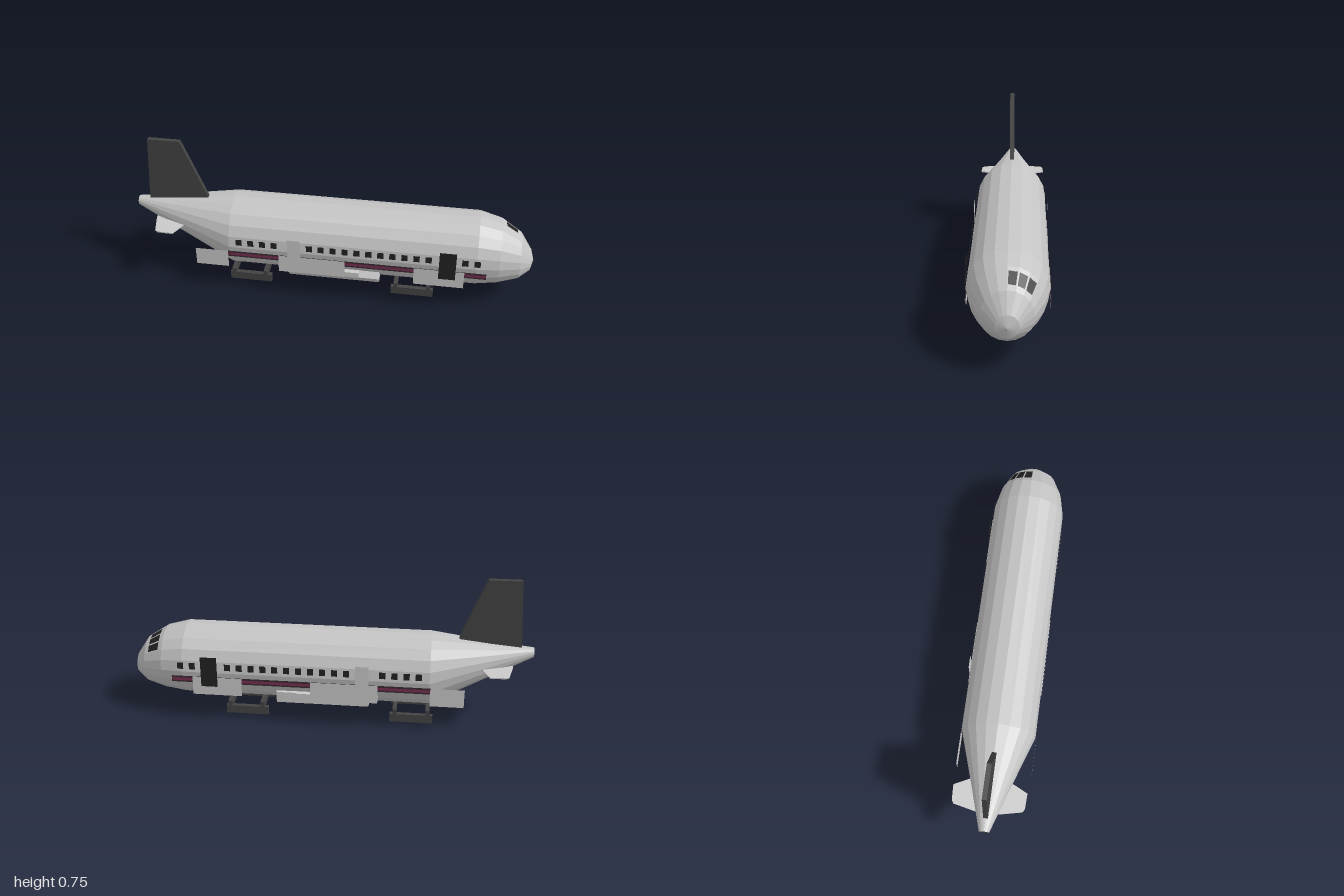
import * as THREE from 'three';

const mat = (name, color, side = THREE.FrontSide) =>
  Object.assign(new THREE.MeshStandardMaterial({ color, side }), { name });

export function createModel() {
  const group = new THREE.Group();
  const skin = mat('hull grey', 0xc4c4c4);
  const panel = mat('panel grey', 0xcacaca, THREE.DoubleSide);
  const dark = mat('dark grey', 0x444444);
  const glass = mat('window black', 0x222222, THREE.DoubleSide);
  const trim = mat('stripe edge', 0x3a2a32, THREE.DoubleSide);
  const stripe = mat('stripe maroon', 0x7a3050, THREE.DoubleSide);

  const add = (name, geo, m, x = 0, y = 0, z = 0) => {
    const mesh = new THREE.Mesh(geo, m);
    mesh.name = name;
    mesh.position.set(x, y, z);
    group.add(mesh);
    return mesh;
  };
  // box given by its low and high corners
  const box = (name, m, x0, x1, y0, y1, z0, z1) =>
    add(name, new THREE.BoxGeometry(x1 - x0, y1 - y0, z1 - z0), m, (x0 + x1) / 2, (y0 + y1) / 2, (z0 + z1) / 2);
  // flat plate on each flank
  const sidePlates = (name, m, x0, x1, y0, y1, z) => {
    for (const s of [1, -1]) {
      const p = add(name, new THREE.PlaneGeometry(x1 - x0, y1 - y0), m, (x0 + x1) / 2, (y0 + y1) / 2, s * z);
      if (s < 0) p.rotation.y = Math.PI;
    }
  };
  const faceted = (pts) => {
    const g = new THREE.BufferGeometry().setFromPoints(pts);
    g.computeVertexNormals();
    return g;
  };

  // Fuselage rings: x, centre height, radius
  const SIDES = 20;
  const rings = [
    [-1, 0.376, 0.024], [-0.8, 0.331, 0.086], [-0.5, 0.268, 0.183], [0.72, 0.268, 0.183],
    [0.83, 0.26, 0.161], [0.93, 0.24, 0.115], [0.985, 0.217, 0.053], [1, 0.217, 0.0005],
  ];
  const point = ([x, c, r], j) => {
    const a = (j / SIDES) * Math.PI * 2;
    return new THREE.Vector3(x, c + r * Math.cos(a), r * Math.sin(a));
  };
  const hull = [];
  for (let i = 0; i < rings.length - 1; i++) {
    for (let j = 0; j < SIDES; j++) {
      const a = point(rings[i], j), b = point(rings[i], j + 1);
      const c = point(rings[i + 1], j), d = point(rings[i + 1], j + 1);
      hull.push(a, b, c, b, d, c);
    }
  }
  add('fuselage', faceted(hull), skin);
  const cap = add('tailCap', new THREE.CircleGeometry(0.024, SIDES), dark, -1, 0.376, 0);
  cap.rotation.y = -Math.PI / 2;

  // Cockpit windows, one on each of three nose facets
  for (let k = 1; k <= 3; k++) {
    const on = (u, v) => {
      const lo = point(rings[4], -k).lerp(point(rings[4], -k + 1), u);
      const hi = point(rings[5], -k).lerp(point(rings[5], -k + 1), u);
      return lo.lerp(hi, v);
    };
    const a = on(0.1, 0.2), b = on(0.93, 0.2), c = on(0.1, 0.76), d = on(0.93, 0.76);
    const n = b.clone().sub(a).cross(c.clone().sub(a)).normalize().multiplyScalar(0.003);
    [a, b, c, d].forEach((p) => p.add(n));
    add('cockpitWindow', faceted([a, b, c, b, d, c]), glass);
  }

  // Tail fin
  const fin = new THREE.Shape([[-0.94, 0.38], [-0.635, 0.42], [-0.635, 0.438], [-0.755, 0.75], [-0.915, 0.75], [-0.94, 0.4]]
    .map(([x, y]) => new THREE.Vector2(x, y)));
  add('tailFin', new THREE.ExtrudeGeometry(fin, { depth: 0.022, bevelEnabled: false }), dark, 0, 0, -0.011);

  // Stub tailplanes
  for (const s of [1, -1]) {
    const stub = new THREE.Shape([[-0.9, 0.03], [-0.9, 0.06], [-0.877, 0.165], [-0.86, 0.175], [-0.786, 0.178], [-0.748, 0.1], [-0.748, 0.03]]
      .map(([x, z]) => new THREE.Vector2(x, s * z)));
    const t = add('tailplane', new THREE.ExtrudeGeometry(stub, { depth: 0.006, bevelEnabled: false }), panel, 0, 0.318, 0);
    t.rotation.x = Math.PI / 2;
  }

  // Stripe along both flanks
  sidePlates('stripeEdge', trim, -0.505, 0.77, 0.212, 0.245, 0.184);
  sidePlates('stripe', stripe, -0.505, 0.77, 0.221, 0.236, 0.1855);

  // Flank panels
  sidePlates('rearPanel', panel, -0.67, -0.505, 0.148, 0.245, 0.186);
  sidePlates('middlePanel', panel, -0.25, 0.08, 0.148, 0.245, 0.187);
  sidePlates('uprightPanel', panel, -0.205, -0.14, 0.148, 0.345, 0.188);
  sidePlates('frontPanel', panel, 0.42, 0.665, 0.148, 0.245, 0.187);

  // Passenger windows and doors
  for (let i = 0; i <= 20; i++) {
    if ((i > 3 && i < 6) || (i > 16 && i < 19)) continue;
    const x = -0.447 + i * 0.0585;
    sidePlates('window', glass, x - 0.015, x + 0.015, 0.285, 0.32, 0.1865);
  }
  sidePlates('door', glass, 0.54, 0.622, 0.195, 0.355, 0.189);

  // Five-sided belly pods with a side rail
  for (const s of [1, -1]) {
    const pod = new THREE.CylinderGeometry(0.048, 0.048, 0.455, 5).toNonIndexed();
    pod.rotateZ(-Math.PI / 2);
    pod.computeVertexNormals();
    add('bellyPod', pod, panel, 0.0225, 0.143, s * 0.127);
    box('sideRail', panel, -0.25, 0.15, 0.149, 0.178, s * 0.1725 - 0.0125, s * 0.1725 + 0.0125);
  }

  // Landing skids: two runners under two cross bars
  for (const cx of [-0.416, 0.413]) {
    for (const s of [1, -1]) {
      box('skidRunner', dark, cx - 0.107, cx + 0.107, 0, 0.043, s * 0.0915 - 0.011, s * 0.0915 + 0.011);
      box('skidCrossBar', dark, cx + s * 0.082 - 0.01, cx + s * 0.082 + 0.01, 0.043, 0.084, -0.125, 0.125);
    }
  }
  return group;
}
